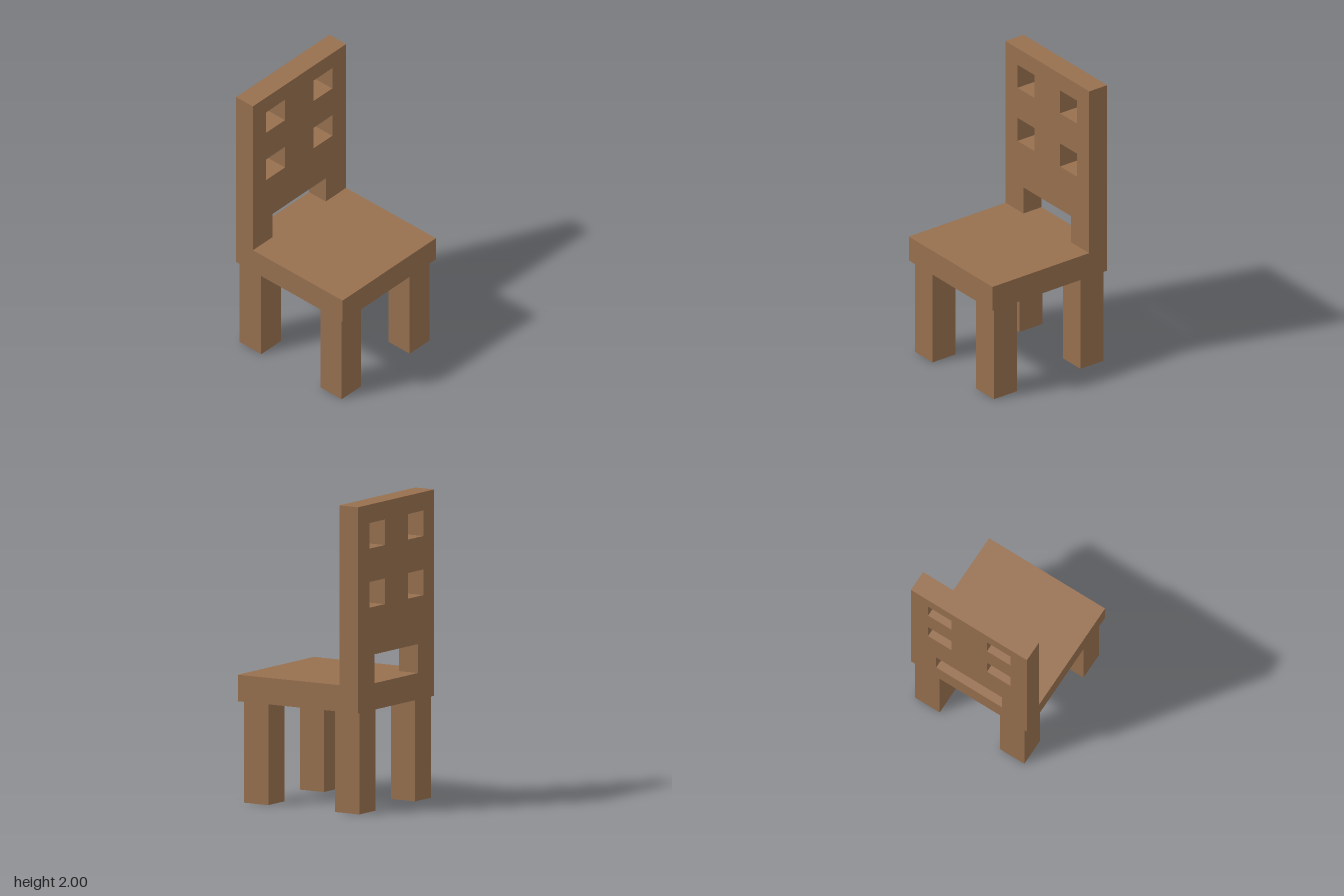
import * as THREE from 'three';

export function createModel() {
  const model = new THREE.Group();
  model.name = 'chair';
  const wood = new THREE.MeshStandardMaterial({ color: 0x966f4e });
  wood.name = 'brown wood';

  const SEAT_BOTTOM = 0.66, SEAT_TOP = 0.832;

  // Box given by its lower and upper corners
  function block(name, [x0, y0, z0], [x1, y1, z1]) {
    const mesh = new THREE.Mesh(new THREE.BoxGeometry(x1 - x0, y1 - y0, z1 - z0), wood);
    mesh.position.set((x0 + x1) / 2, (y0 + y1) / 2, (z0 + z1) / 2);
    mesh.name = name;
    model.add(mesh);
  }

  block('seat', [-0.463, SEAT_BOTTOM, -0.443], [0.463, SEAT_TOP, 0.443]);

  // Four legs
  for (const [xName, x0, x1] of [['back', -0.455, -0.268], ['front', 0.246, 0.432]]) {
    for (const [zName, z0, z1] of [['Right', 0.232, 0.418], ['Left', -0.416, -0.229]]) {
      block(xName + zName + 'Leg', [x0, 0, z0], [x1, SEAT_BOTTOM, z1]);
    }
  }

  // Backrest outline (z, y) with a wide gap above the seat
  const outline = new THREE.Shape([
    [-0.443, SEAT_TOP], [-0.25, SEAT_TOP], [-0.25, 1.02], [0.254, 1.02],
    [0.254, SEAT_TOP], [0.443, SEAT_TOP], [0.443, 2], [-0.443, 2],
  ].map(([z, y]) => new THREE.Vector2(z, y)));

  // Four window holes through the backrest
  for (const [z0, z1] of [[-0.312, -0.132], [0.138, 0.317]]) {
    for (const [y0, y1] of [[1.33, 1.497], [1.714, 1.88]]) {
      outline.holes.push(new THREE.Path([
        new THREE.Vector2(z0, y0), new THREE.Vector2(z0, y1),
        new THREE.Vector2(z1, y1), new THREE.Vector2(z1, y0),
      ]));
    }
  }
  const backGeometry = new THREE.ExtrudeGeometry(outline, { depth: 0.145, bevelEnabled: false });
  backGeometry.rotateY(-Math.PI / 2); // shape x becomes z, depth runs towards -x
  backGeometry.translate(-0.318, 0, 0);
  const back = new THREE.Mesh(backGeometry, wood);
  back.name = 'backrest';
  model.add(back);

  return model;
}
